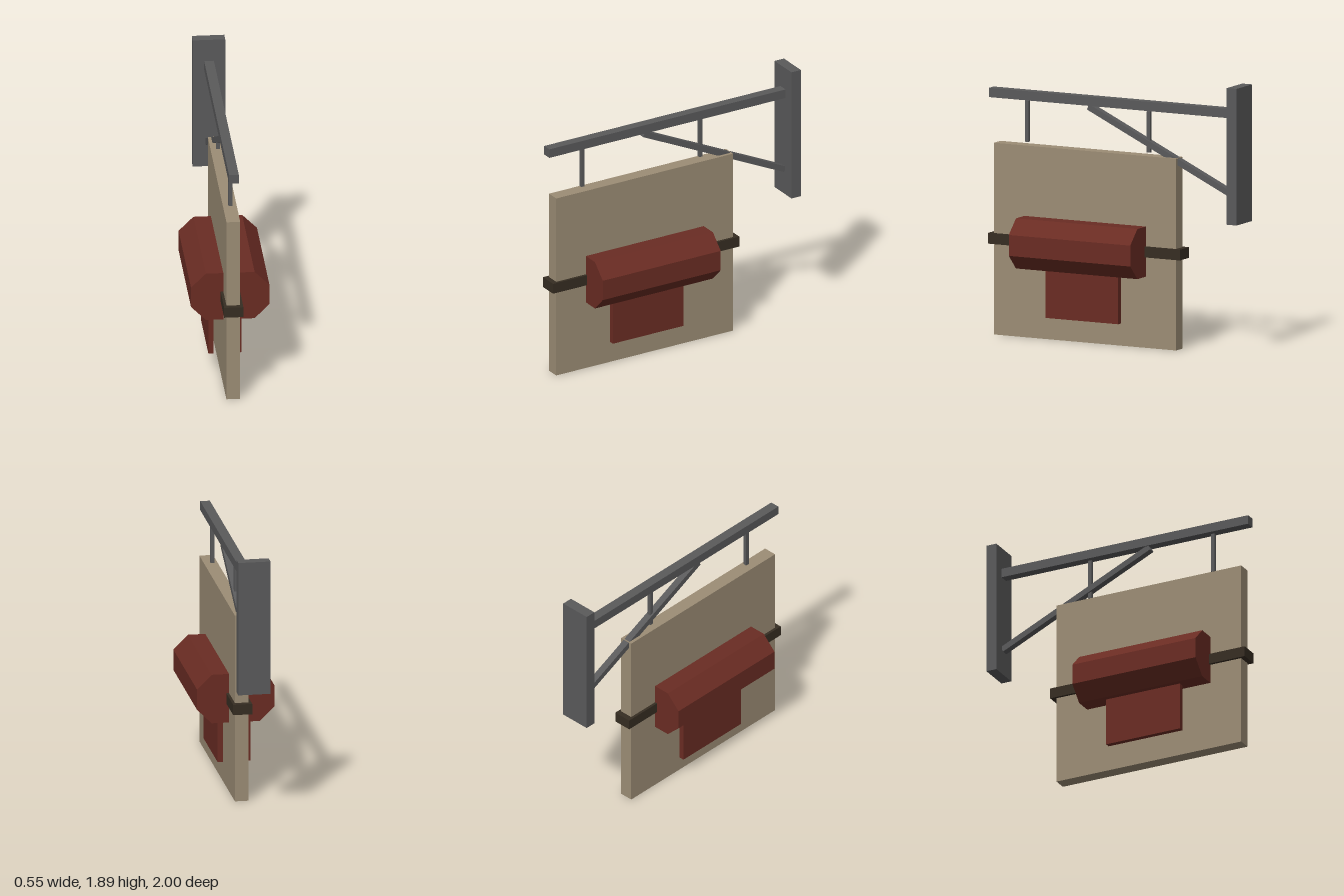
import * as THREE from 'three';

const mat = (name, color) => {
  const m = new THREE.MeshStandardMaterial({ color });
  m.name = name;
  return m;
};

export function createModel() {
  const group = new THREE.Group();
  group.name = 'hangingSign';
  const iron = mat('iron grey', 0x5a5a5b);
  const wood = mat('pale wood', 0x9c8d75);
  const red = mat('dark red', 0x6a2c23);
  const strapBrown = mat('strap brown', 0x362d22);

  const add = (name, geometry, material) => {
    const mesh = new THREE.Mesh(geometry, material);
    mesh.name = name;
    group.add(mesh);
    return mesh;
  };
  // Box given by its limits on each axis
  const box = (name, material, [x0, x1], [y0, y1], [z0, z1]) => {
    const mesh = add(name, new THREE.BoxGeometry(x1 - x0, y1 - y0, z1 - z0), material);
    mesh.position.set((x0 + x1) / 2, (y0 + y1) / 2, (z0 + z1) / 2);
    return mesh;
  };

  // Wall bracket
  box('wallPlate', iron, [-0.113, 0.113], [0.927, 1.887], [-1, -0.923]);
  box('beam', iron, [-0.034, 0.034], [1.662, 1.727], [-0.923, 1]);

  // Diagonal brace from the wall plate up to the beam
  const low = new THREE.Vector3(0, 1.115, -0.925);
  const high = new THREE.Vector3(0, 1.653, 0.222);
  const brace = add('brace', new THREE.BoxGeometry(0.05, 0.042, low.distanceTo(high)), iron);
  brace.position.copy(low).lerp(high, 0.5);
  brace.rotation.x = -Math.atan2(high.y - low.y, high.z - low.z);

  // Hangers between beam and board
  for (const z of [0.713, -0.247]) {
    box('hanger', iron, [-0.013, 0.013], [1.367, 1.655], [z - 0.013, z + 0.013]);
  }

  // Sign board and the strap around it
  box('board', wood, [-0.048, 0.048], [0, 1.347], [-0.487, 0.953]);
  box('strap', strapBrown, [-0.067, 0.067], [0.638, 0.713], [-0.527, 0.99]);

  // Eight-sided roll running through the board
  const outline = [
    [0.17, 0.5], [0.273, 0.603], [0.273, 0.75], [0.17, 0.852],
    [-0.17, 0.852], [-0.273, 0.75], [-0.273, 0.603], [-0.17, 0.5],
  ].map(([x, y]) => new THREE.Vector2(x, y));
  const roll = add('roll', new THREE.ExtrudeGeometry(new THREE.Shape(outline),
    { depth: 0.96, bevelEnabled: false }), red);
  roll.position.z = -0.248;

  // Hanging flaps below the roll
  box('rightFlap', red, [-0.135, -0.098], [0.157, 0.51], [-0.055, 0.52]);
  box('leftFlap', red, [0.057, 0.095], [0.157, 0.51], [-0.055, 0.52]);

  return group;
}
